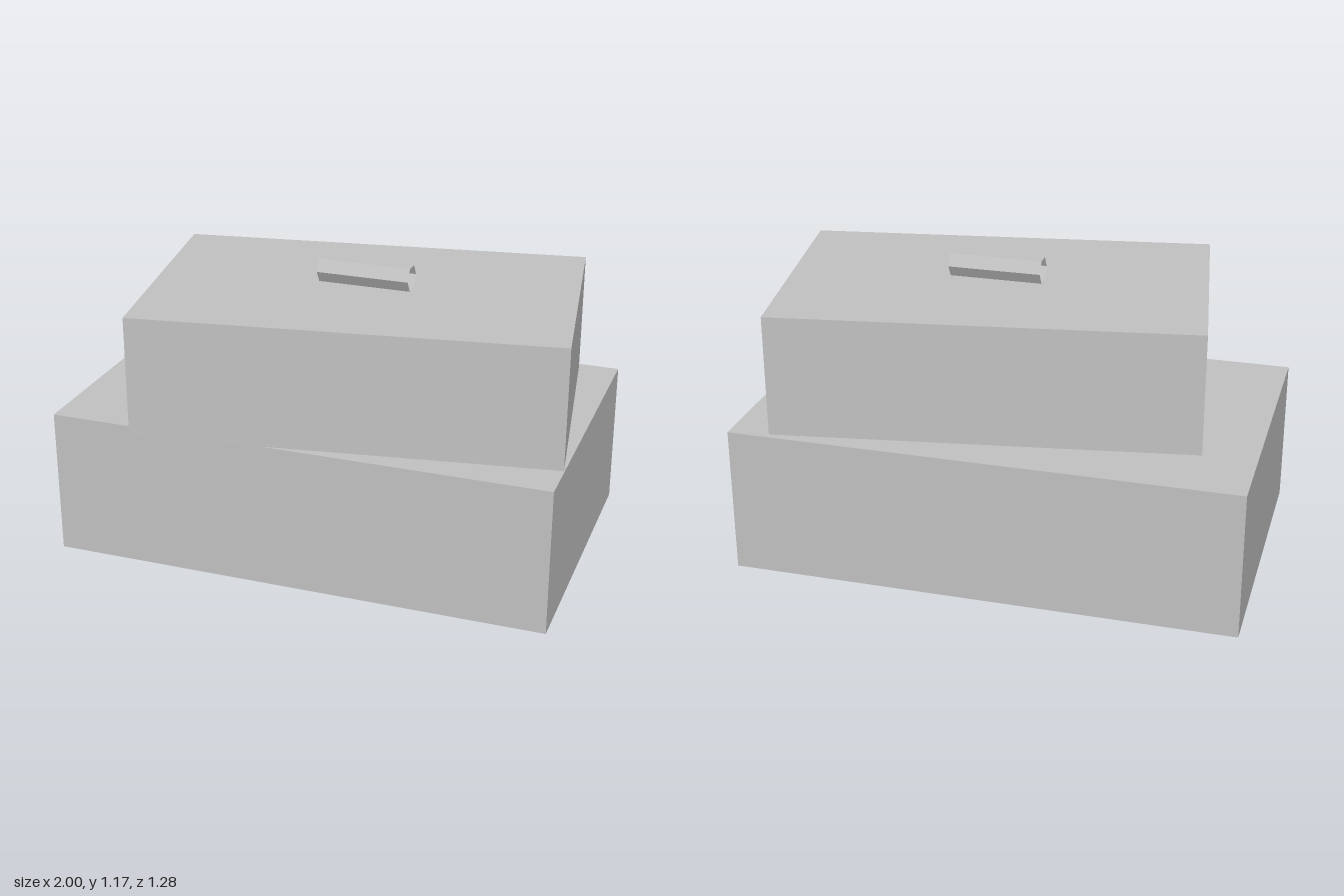
import * as THREE from 'three';

export function createModel() {
  const group = new THREE.Group();
  const grey = new THREE.MeshStandardMaterial({ color: 0xc0c0c0 });
  // Open tube is seen from inside too
  const tubeGrey = grey;
  tubeGrey.side = THREE.DoubleSide;

  const add = (name, geometry, x, y, z) => {
    const mesh = new THREE.Mesh(geometry, grey);
    mesh.name = name;
    mesh.position.set(x, y, z);
    group.add(mesh);
    return mesh;
  };

  const baseTop = 0.588, upperTop = 1.07, radius = 0.053;

  // Wide lower block
  add('lowerBlock', new THREE.BoxGeometry(2, baseTop, 1.2), 0, baseTop / 2, -0.042);

  // Smaller block, turned on top of it
  const upper = add('upperBlock', new THREE.BoxGeometry(1.65, upperTop - baseTop, 1.01),
    0.103, (baseTop + upperTop) / 2, 0.01);
  upper.rotation.y = 0.157;

  // Open six-sided tube lying along x, with a flat face up
  const tube = new THREE.CylinderGeometry(radius, radius, 0.37, 6, 1, true).toNonIndexed();
  tube.computeVertexNormals();
  tube.rotateZ(Math.PI / 2);
  add('handle', tube, 0.105, upperTop + radius, 0.007);

  return group;
}
